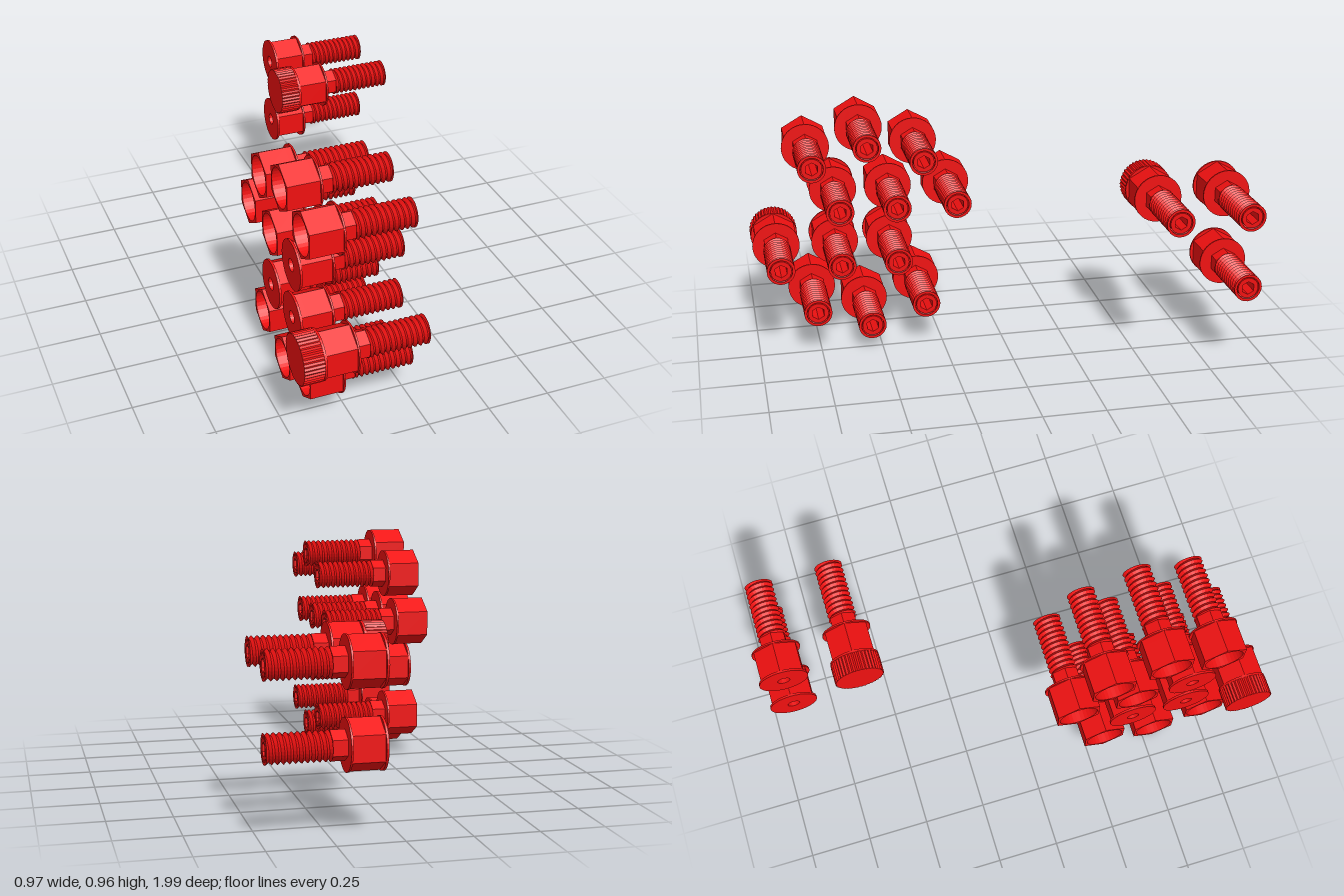
import * as THREE from 'three';

const red = new THREE.MeshStandardMaterial({ color: 0xf01010, flatShading: true, side: THREE.DoubleSide });

// Every bolt is built along +y (head at the bottom) and later laid along +x.
const HEAD = 0.135, NECK_END = 0.19, LENGTH = 0.425;

function ring(radius, sides, PathType = THREE.Shape) {
  const path = new PathType();
  for (let i = 0; i <= sides; i++) {
    const a = (i / sides) * Math.PI * 2;
    path[i ? 'lineTo' : 'moveTo'](radius * Math.cos(a), radius * Math.sin(a));
  }
  return path;
}

// Straight prism from y0 to y1 with an optional hole
function prism(radius, sides, y0, y1, holeRadius = 0, holeSides = 6) {
  const shape = ring(radius, sides);
  if (holeRadius) shape.holes.push(ring(holeRadius, holeSides, THREE.Path));
  const g = new THREE.ExtrudeGeometry(shape, { depth: y1 - y0, bevelEnabled: false });
  return g.rotateX(-Math.PI / 2).translate(0, y0, 0);
}

// Zigzag lathe sheared into a helix, cut flat at both ends
function threadGeometry() {
  const turns = 11, length = LENGTH - NECK_END, pitch = length / turns;
  const profile = [];
  for (let i = -2; i <= turns * 2 + 2; i++) {
    profile.push(new THREE.Vector2(i % 2 ? 0.057 : 0.046, (i * pitch) / 2));
  }
  const segments = 24;
  const g = new THREE.LatheGeometry(profile, segments);
  const p = g.attributes.position;
  for (let i = 0; i < p.count; i++) {
    const turn = Math.floor(i / profile.length) / segments;
    p.setY(i, NECK_END + THREE.MathUtils.clamp(p.getY(i) + turn * pitch, 0, length));
  }
  g.computeVertexNormals();
  return g;
}

// Cylinder with fine teeth around its rim
function knurledCap() {
  const shape = new THREE.Shape();
  const teeth = 40;
  for (let i = 0; i <= teeth * 2; i++) {
    const a = (i / (teeth * 2)) * Math.PI * 2, r = i % 2 ? 0.094 : 0.099;
    shape[i ? 'lineTo' : 'moveTo'](r * Math.cos(a), r * Math.sin(a));
  }
  const g = new THREE.ExtrudeGeometry(shape, { depth: 0.078, bevelEnabled: false });
  return g.rotateX(-Math.PI / 2).translate(0, -0.078, 0);
}

const parts = {
  socketWall: prism(0.098, 6, 0, 0.105, 0.077, 32),
  socketFloor: prism(0.098, 6, 0.105, HEAD, 0.027),
  solidHead: prism(0.097, 6, 0.03, HEAD),
  headDisc: prism(0.098, 32, 0, 0.009, 0.025, 20),
  headCore: prism(0.097, 6, 0.009, 0.03, 0.025, 20),
  washer: prism(0.098, 32, HEAD - 0.007, HEAD, 0.027),
  neck: prism(0.057, 6, HEAD, NECK_END, 0.027),
  thread: threadGeometry(),
  shaftBore: prism(0.042, 24, NECK_END, LENGTH, 0.027),
  knurledCap: knurledCap(),
};

function createBolt(kind) {
  const bolt = new THREE.Group();
  const names = ['washer', 'neck', 'thread', 'shaftBore'];
  if (kind === 'socket') names.push('socketWall', 'socketFloor');
  else names.push('headDisc', 'headCore', 'solidHead');
  if (kind === 'capped') names.push('knurledCap');
  for (const name of names) {
    const mesh = new THREE.Mesh(parts[name], red);
    mesh.name = name;
    bolt.add(mesh);
  }
  bolt.name = kind + 'Bolt';
  bolt.rotation.z = -Math.PI / 2;
  return bolt;
}

export function createModel() {
  const model = new THREE.Group();
  model.name = 'boltSet';

  // Bolts as [z, y, kind], grouped by the x of the head
  const clusters = [
    { name: 'largeCluster', x: -0.41, bolts: [
      [0.76, 0.79, 'socket'], [0.54, 0.86, 'socket'], [0.315, 0.79, 'socket'],
      [0.655, 0.6, 'flat'], [0.425, 0.6, 'socket'], [0.18, 0.6, 'socket'],
      [0.9, 0.37, 'capped'], [0.655, 0.37, 'flat'], [0.425, 0.37, 'flat'],
      [0.76, 0.175, 'socket'], [0.54, 0.1, 'socket'], [0.315, 0.175, 'socket'],
    ] },
    { name: 'smallCluster', x: 0.06, bolts: [
      [-0.605, 0.63, 'capped'], [-0.895, 0.63, 'flat'], [-0.895, 0.335, 'flat'],
    ] },
  ];
  for (const { name, x, bolts } of clusters) {
    const cluster = new THREE.Group();
    cluster.name = name;
    for (const [z, y, kind] of bolts) {
      const bolt = createBolt(kind);
      bolt.position.set(x, y, z);
      cluster.add(bolt);
    }
    model.add(cluster);
  }
  return model;
}
